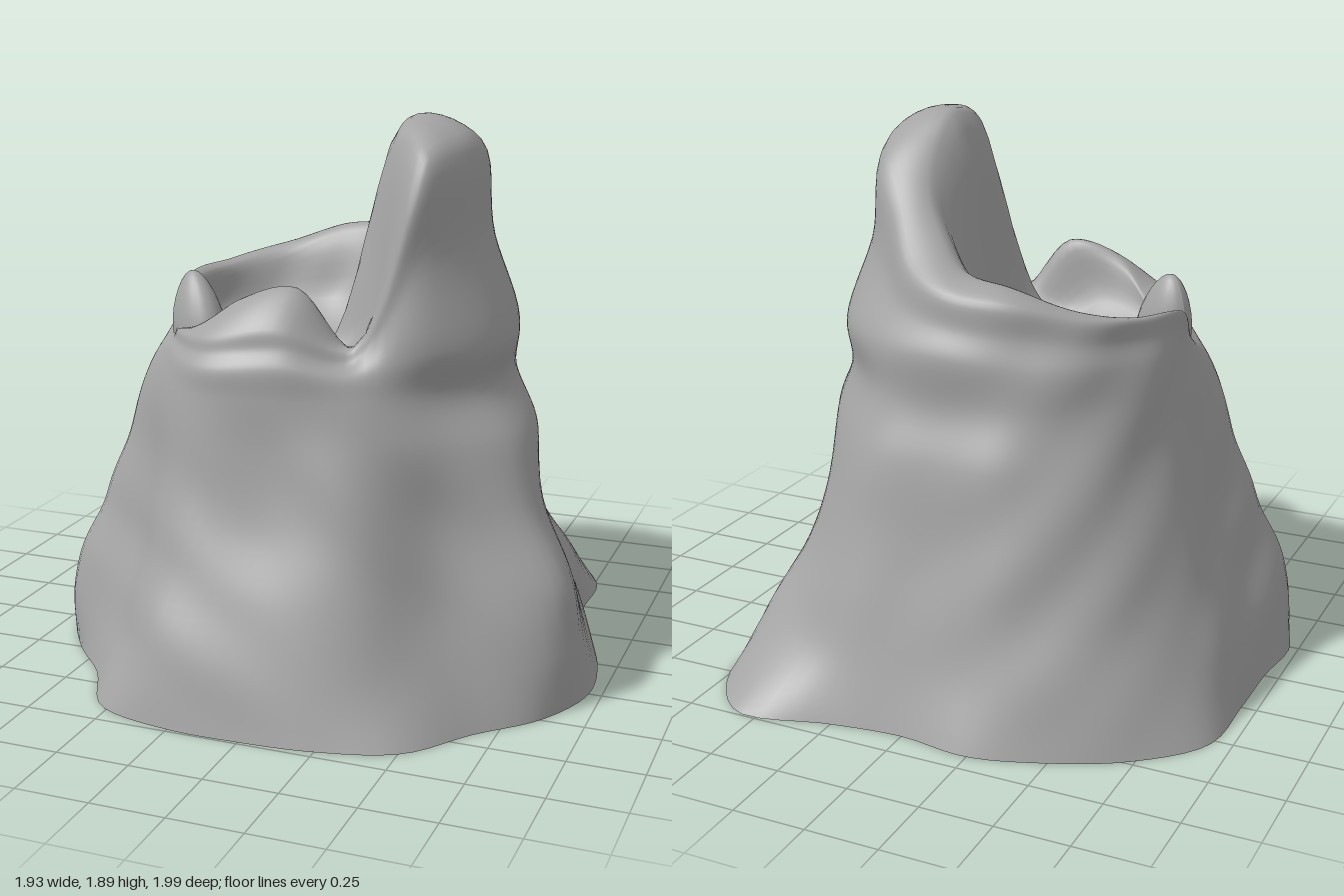
import * as THREE from 'three';

const material = new THREE.MeshStandardMaterial({ color: 0xa4a4a4 });
const SIDES = 112, ROWS = 84;

// closed contour from radii at equal angles (from +x towards +z); y is a height or one per angle
function contour(radii, y, cx = 0, cz = 0) {
  return radii.map((r, k) => {
    const a = (k / radii.length) * Math.PI * 2;
    return new THREE.Vector3(cx + r * Math.cos(a), Array.isArray(y) ? y[k] : y, cz + r * Math.sin(a));
  });
}

// gentle weathering of the surface
function weather(p, amount) {
  const n = Math.sin(p.x * 9 + p.y * 8) * Math.sin(p.z * 9 - p.y * 7) + 0.4 * Math.sin(p.x * 14 - p.z * 13 + p.y * 17);
  const s = 1 + amount * n;
  p.x *= s;
  p.z *= s;
  return p;
}

function makeMesh(name, positions, indices) {
  const g = new THREE.BufferGeometry();
  g.setAttribute('position', new THREE.Float32BufferAttribute(positions, 3));
  g.setIndex(indices);
  g.computeVertexNormals();
  const mesh = new THREE.Mesh(g, material);
  mesh.name = name;
  return mesh;
}

function mountainContours() {
  // flanks with spurs and gullies, from the foot up to the ledge below the horn
  const foot = contour([0.93, 0.99, 0.99, 0.96, 1.02, 1.0, 0.99, 1.02, 1.05, 0.95, 0.97, 1.0,
    0.95, 0.98, 1.07, 1.04, 0.99, 0.96, 0.9, 0.96, 1.14, 1.07, 0.89, 0.88], 0);
  const skirt = contour([0.87, 0.99, 0.87, 0.92, 0.93, 0.98, 0.88, 0.99, 0.9, 0.95, 0.97, 0.9, 0.83, 0.9, 0.93, 0.82], 0.2);
  const low = contour([0.79, 0.96, 0.78, 0.84, 0.85, 0.9, 0.81, 0.92, 0.82, 0.86, 0.88, 0.83, 0.77, 0.82, 0.79, 0.73], 0.4);
  const middle = contour([0.71, 0.83, 0.71, 0.76, 0.75, 0.81, 0.75, 0.82, 0.75, 0.78, 0.8, 0.77, 0.71, 0.74, 0.7, 0.66], 0.62);
  const bulge = contour([0.69, 0.74, 0.67, 0.69, 0.69, 0.75, 0.72, 0.74, 0.69, 0.7, 0.72, 0.71, 0.66, 0.67, 0.63, 0.63], 0.86);
  const recess = contour([0.61, 0.64, 0.62, 0.63, 0.67, 0.72, 0.69, 0.68, 0.65, 0.66, 0.67, 0.64, 0.6, 0.6, 0.57, 0.58], 1.03);
  const ledge = contour([0.62, 0.66, 0.64, 0.6, 0.66, 0.71, 0.66, 0.64, 0.62, 0.63, 0.64, 0.62, 0.6, 0.59, 0.58, 0.59],
    [1.18, 1.18, 1.18, 1.11, 1.13, 1.11, 1.11, 1.09, 1.15, 1.16, 1.17, 1.18, 1.2, 1.2, 1.2, 1.19]);
  // crest: tall horn on the +x side, notch and hump in front, lower rim elsewhere
  const outer = contour([0.47, 0.51, 0.57, 0.53, 0.6, 0.66, 0.62, 0.59, 0.6, 0.59, 0.58, 0.56, 0.53, 0.48, 0.43, 0.45],
    [1.81, 1.82, 1.77, 1.18, 1.25, 1.21, 1.18, 1.15, 1.28, 1.3, 1.33, 1.38, 1.4, 1.46, 1.6, 1.74]);
  const inner = contour([0.24, 0.26, 0.36, 0.44, 0.47, 0.51, 0.52, 0.55, 0.57, 0.54, 0.49, 0.44, 0.39, 0.33, 0.3, 0.26],
    [1.87, 1.87, 1.81, 1.16, 1.36, 1.31, 1.17, 1.13, 1.26, 1.29, 1.34, 1.41, 1.44, 1.54, 1.65, 1.79]);
  const shoulder = ledge.map((p, k) => {
    const q = p.clone().lerp(outer[k], 0.64);
    q.y = THREE.MathUtils.lerp(p.y, outer[k].y, 0.48);
    return q;
  });
  // crater bowl: steep at the back, gentle in front
  const wall = contour([0.24, 0.27, 0.32, 0.34, 0.35, 0.35, 0.36, 0.38, 0.4, 0.4, 0.38, 0.36, 0.36, 0.34, 0.29, 0.24],
    [1.16, 1.15, 1.12, 1.09, 1.15, 1.14, 1.1, 1.08, 1.11, 1.12, 1.13, 1.15, 1.16, 1.17, 1.17, 1.17], -0.15, 0.06);
  const floor = contour(Array(16).fill(0.2), 1.04, -0.15, 0.06);
  const centre = contour(Array(16).fill(0.002), 1.02, -0.15, 0.08);
  return [foot, skirt, low, middle, bulge, recess, ledge, shoulder, outer, inner, wall, floor, centre];
}

function createMountain() {
  const rings = mountainContours().map((c) => new THREE.CatmullRomCurve3(c, true));
  const positions = [], indices = [], footRing = [];
  for (let i = 0; i < SIDES; i++) {
    const profile = new THREE.CatmullRomCurve3(rings.map((r) => r.getPoint(i / SIDES)));
    for (let j = 0; j <= ROWS; j++) {
      const p = profile.getPoint(j / ROWS);
      weather(p, 0.01 * Math.min(1, p.y * 2));
      positions.push(p.x, p.y, p.z);
      if (j === 0) footRing.push(p);
    }
  }
  for (let i = 0; i < SIDES; i++) {
    for (let j = 0; j < ROWS; j++) {
      const a = i * (ROWS + 1) + j, b = ((i + 1) % SIDES) * (ROWS + 1) + j;
      indices.push(a, a + 1, b, b, a + 1, b + 1);
    }
  }
  // flat underside
  const basePositions = [0, 0, 0], baseIndices = [];
  footRing.forEach((p, i) => {
    basePositions.push(p.x, 0, p.z);
    baseIndices.push(0, 1 + i, 1 + ((i + 1) % SIDES));
  });
  return [makeMesh('mountain', positions, indices), makeMesh('underside', basePositions, baseIndices)];
}

// small leaning rock on the crater rim
function createRimRock() {
  const g = new THREE.SphereGeometry(1, 20, 14);
  const pos = g.attributes.position;
  for (let i = 0; i < pos.count; i++) {
    const p = new THREE.Vector3().fromBufferAttribute(pos, i);
    const taper = 1 - 0.25 * p.y;
    pos.setXYZ(i, p.x * 0.12 * taper - p.y * 0.03, p.y * 0.17, p.z * 0.08 * taper);
  }
  g.computeVertexNormals();
  const rock = new THREE.Mesh(g, material);
  rock.name = 'rimRock';
  rock.position.set(-0.46, 1.17, 0.24);
  rock.rotation.y = -0.6;
  return rock;
}

export function createModel() {
  const group = new THREE.Group();
  group.name = 'craterMountain';
  group.add(...createMountain(), createRimRock());
  return group;
}
